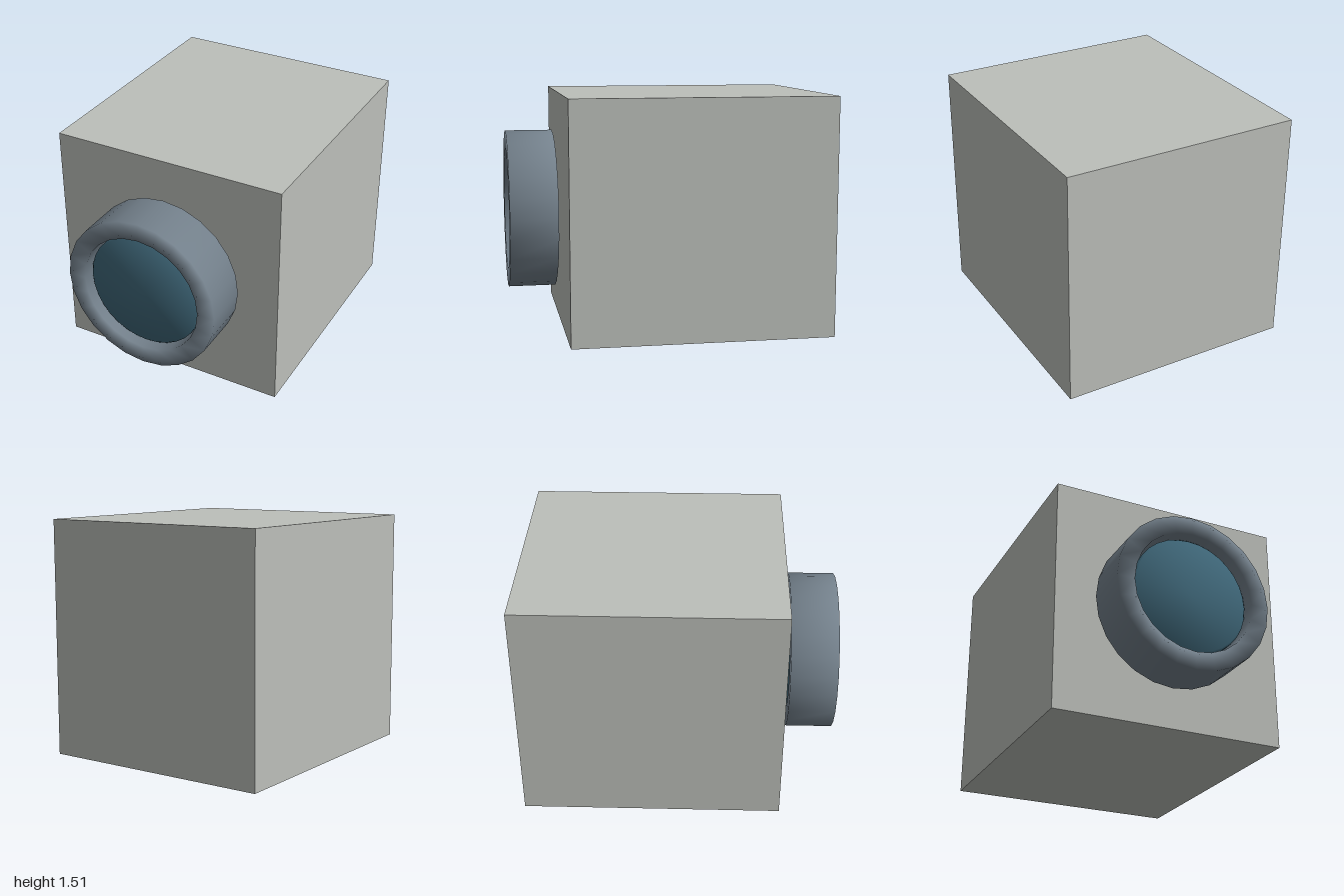
import * as THREE from 'three';
import { mergeVertices, toCreasedNormals } from 'three/addons/utils/BufferGeometryUtils.js';

// Turned part whose axis points forward; profile points are [radius, z]
function turned(profile, segments) {
  const points = profile.map(([r, z]) => new THREE.Vector2(r, z));
  const geometry = new THREE.LatheGeometry(points, segments);
  geometry.rotateX(Math.PI / 2);
  geometry.deleteAttribute('normal');
  geometry.deleteAttribute('uv');
  const merged = mergeVertices(geometry, 1e-4);
  merged.computeVertexNormals();
  return merged;
}

export function createModel() {
  const group = new THREE.Group();
  const paint = (name, color) => {
    const material = new THREE.MeshStandardMaterial({ color });
    material.name = name;
    return material;
  };
  const bodyGrey = paint('bodyGrey', 0xbcbfba);
  const rimSlate = paint('rimSlate', 0x74818c);
  const glassTeal = paint('glassTeal', 0x3f6779);

  const add = (name, geometry, material, y, z = 0) => {
    const mesh = new THREE.Mesh(geometry, material);
    mesh.name = name;
    mesh.position.set(0, y, z);
    group.add(mesh);
  };
  const centreY = 0.755;

  // Plain block body
  add('body', new THREE.BoxGeometry(1.52, 1.51, 1.66), bodyGrey, centreY, -0.17);

  // Square-section rim with soft shared normals, floating just ahead of the body
  add('rim', turned([[0.51, 0.7], [0.51, 1], [0.395, 1], [0.395, 0.7], [0.51, 0.7]], 24),
    rimSlate, centreY);

  // Recessed lens with a small bevel
  add('lens', toCreasedNormals(
    turned([[0, 0.71], [0.38, 0.71], [0.38, 0.94], [0.368, 0.953], [0, 0.955]], 32), 0.9),
  glassTeal, centreY);

  return group;
}
